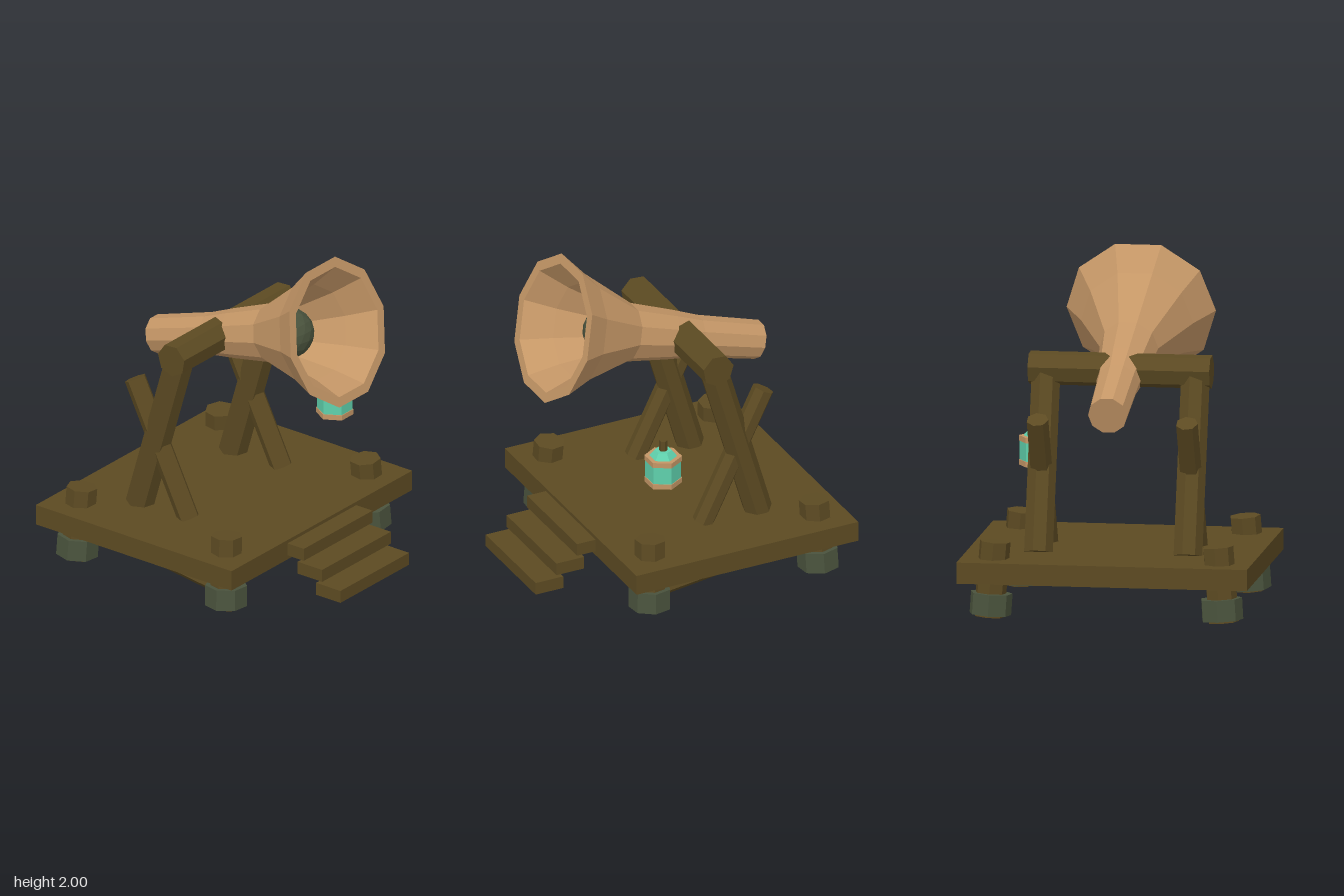
import * as THREE from 'three';

const paint = (name, color) => new THREE.MeshStandardMaterial({ name, color, flatShading: true });
const UP = new THREE.Vector3(0, 1, 0);

export function createModel() {
  const model = new THREE.Group();
  model.name = 'hornOnPlatform';
  const wood = paint('dark wood', 0x5c4a22);
  const copper = paint('copper', 0xc49666);
  const iron = paint('green iron', 0x4a533d);
  const glass = paint('teal glass', 0x5fd0ac);

  function add(name, geometry, material, parent = model) {
    const mesh = new THREE.Mesh(geometry, material);
    mesh.name = name;
    parent.add(mesh);
    return mesh;
  }

  function box(name, w, h, d, x, y, z) {
    add(name, new THREE.BoxGeometry(w, h, d), wood).position.set(x, y, z);
  }

  // Seven-sided log between two points, spun about its own axis
  function log(name, from, to, radius, spin = 0, material = wood) {
    const a = new THREE.Vector3(...from), b = new THREE.Vector3(...to);
    const dir = b.clone().sub(a);
    const geometry = new THREE.CylinderGeometry(radius, radius, dir.length(), 7);
    geometry.rotateY(THREE.MathUtils.degToRad(spin));
    const mesh = add(name, geometry, material);
    mesh.position.copy(a).lerp(b, 0.5);
    mesh.quaternion.setFromUnitVectors(UP, dir.normalize());
  }

  // Platform and three descending steps
  box('platform', 1.71, 0.125, 1.445, 0, 0.2875, -0.193);
  for (let i = 0; i < 3; i++) {
    box('step', 0.65, 0.077, 0.18, 0, 0.29 - i * 0.096, 0.56 + i * 0.135);
  }

  for (const s of [-1, 1]) {
    // Slightly leaning corner pegs with iron feet
    for (const [z, lean] of [[0.338, 0.018], [-0.73, -0.015]]) {
      log('cornerPeg', [s * 0.69, 0.01, z + lean], [s * 0.655, 0.45, z], 0.092, s * -23);
      log('ironFoot', [s * 0.683, 0.022, z + lean], [s * 0.675, 0.148, z + lean * 0.7],
        0.125, s * -23, iron);
    }
    // Sloping rail under the platform
    log('underRail', [s * 0.67, 0.105, 0.35], [s * 0.67, 0.245, -0.73], 0.043);
    // Crossed post and brace
    log('post', [s * 0.44, 0.345, -0.468], [s * 0.44, 1.383, -0.165], 0.086, 12);
    log('brace', [s * 0.44, 0.345, -0.11], [s * 0.44, 1.135, -0.505], 0.065, 12);
  }
  log('crossbeam', [-0.535, 1.383, -0.165], [0.535, 1.383, -0.165], 0.1, 35);

  // Hollow ten-sided horn: outside profile, rim, then inside profile
  const horn = new THREE.Group();
  horn.name = 'horn';
  horn.position.set(0, 1.2, -0.68);
  horn.rotation.x = THREE.MathUtils.degToRad(73);
  model.add(horn);
  const profile = [
    [0, 0], [0.115, 0], [0.125, 0.42], [0.147, 0.6], [0.173, 0.88], [0.331, 1.215], [0.44, 1.383],
    [0.38, 1.383], [0.28, 1.215], [0.13, 0.88], [0, 0.8],
  ].map(([r, y]) => new THREE.Vector2(r, y));
  add('hornShell', new THREE.LatheGeometry(profile, 10, Math.PI / 10), copper, horn);
  add('ironBall', new THREE.IcosahedronGeometry(0.15, 2), iron, horn).position.y = 1.01;

  // Six-sided lantern with copper bands
  const lantern = new THREE.Group();
  lantern.name = 'lantern';
  lantern.position.set(0.545, 0, 0.2);
  model.add(lantern);
  const tiers = [
    ['lanternBase', 0.085, 0.055, 0.72, 0.745, glass],
    ['lowerBand', 0.11, 0.11, 0.743, 0.775, copper],
    ['lanternGlass', 0.105, 0.105, 0.775, 0.885, glass],
    ['upperBand', 0.11, 0.11, 0.885, 0.917, copper],
    ['lanternCap', 0.05, 0.082, 0.917, 0.955, glass],
    ['lanternStem', 0.025, 0.025, 0.95, 1.02, wood],
  ];
  for (const [name, top, bottom, y0, y1, material] of tiers) {
    const geometry = new THREE.CylinderGeometry(top, bottom, y1 - y0, 6);
    geometry.rotateY(Math.PI / 6);
    add(name, geometry, material, lantern).position.y = (y0 + y1) / 2;
  }

  return model;
}
